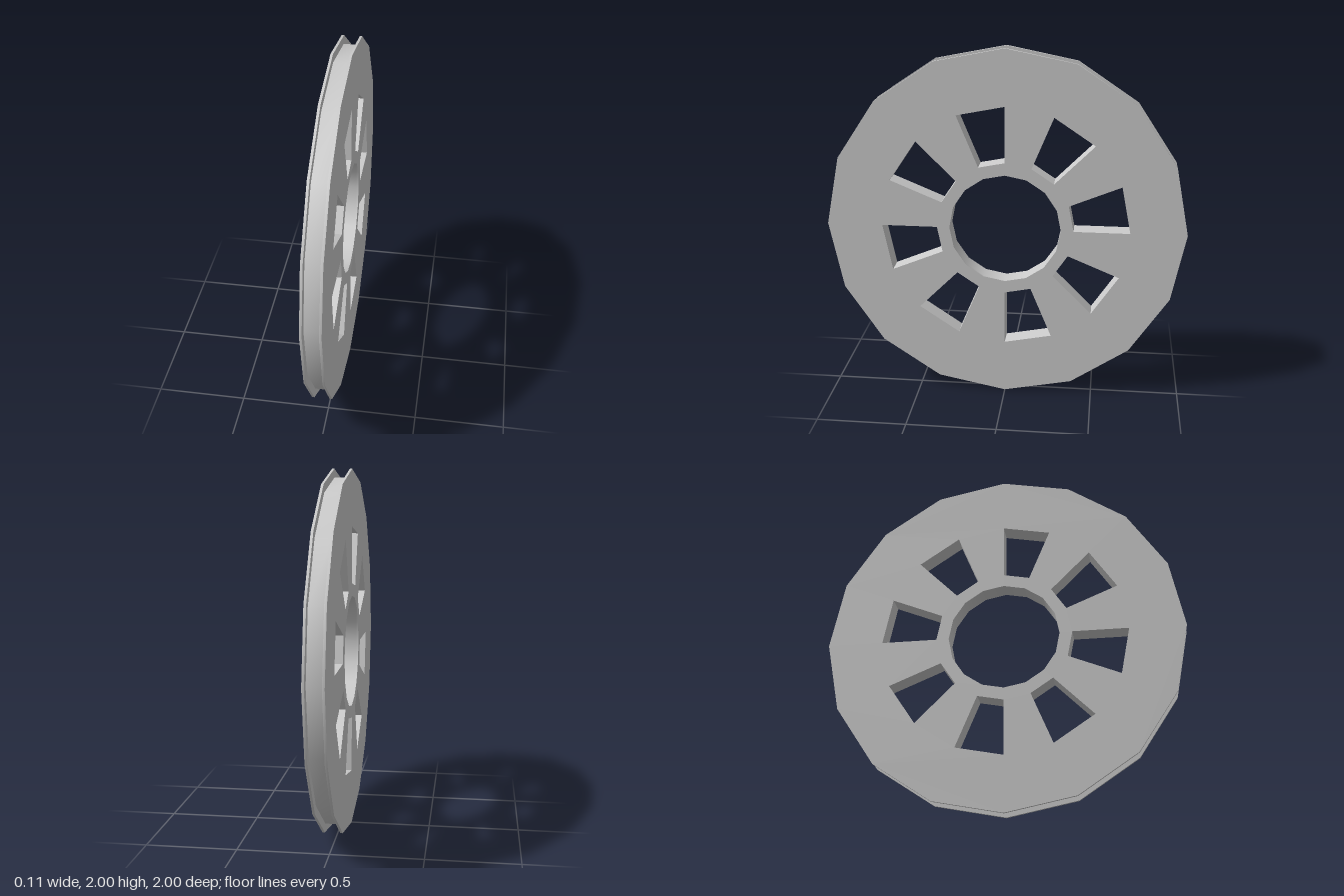
import * as THREE from 'three';
import { toCreasedNormals } from 'three/addons/utils/BufferGeometryUtils.js';

const SIDES = 16;
const STEP = (Math.PI * 2) / SIDES;
const RIM_RADIUS = 1;
const GROOVE_RADIUS = 0.953;
const HUB_RADIUS = 0.31;
const WINDOW_INNER = 0.38;
const WINDOW_OUTER = 0.69;

// Cross-section rows through the thickness: flange, groove floor, flange
const ROWS = [-0.055, -0.042, -0.042, 0.042, 0.042, 0.055];
const GROOVE_ROWS = [2, 3];

// Point at a radius, a number of steps round from the top towards +z
const at = (radius, i) => new THREE.Vector2(Math.sin(i * STEP) * radius, Math.cos(i * STEP) * radius);
const ring = (radius) => Array.from({ length: SIDES }, (_, i) => at(radius, i));

// Face outline with a hub hole and eight windows
function wheelShape() {
  const shape = new THREE.Shape(ring(RIM_RADIUS).reverse());
  shape.holes.push(new THREE.Path(ring(HUB_RADIUS)));
  for (let i = 0; i < SIDES; i += 2) {
    shape.holes.push(new THREE.Path([
      at(WINDOW_OUTER, i), at(WINDOW_OUTER, i + 1), at(WINDOW_INNER, i + 1), at(WINDOW_INNER, i),
    ]));
  }
  return shape;
}

// Extrude one unit per row, then set each row's depth and sink the groove into the rim
function wheelGeometry() {
  const steps = ROWS.length - 1;
  const geometry = new THREE.ExtrudeGeometry(wheelShape(), { depth: steps, steps, bevelEnabled: false });
  const position = geometry.attributes.position;
  for (let i = 0; i < position.count; i++) {
    const x = position.getX(i);
    const y = position.getY(i);
    const row = Math.round(position.getZ(i));
    const onRim = Math.hypot(x, y) > WINDOW_OUTER + 0.1;
    const scale = onRim && GROOVE_ROWS.includes(row) ? GROOVE_RADIUS / RIM_RADIUS : 1;
    position.setXYZ(i, x * scale, y * scale, ROWS[row]);
  }
  geometry.rotateY(-Math.PI / 2); // the axle runs along x
  return toCreasedNormals(geometry, Math.PI / 6);
}

export function createModel() {
  const group = new THREE.Group();
  group.name = 'groovedWheel';

  const wheel = new THREE.Mesh(wheelGeometry(), new THREE.MeshStandardMaterial({ color: 0xcccccc }));
  wheel.name = 'wheel';
  wheel.position.y = 1;
  group.add(wheel);
  return group;
}
